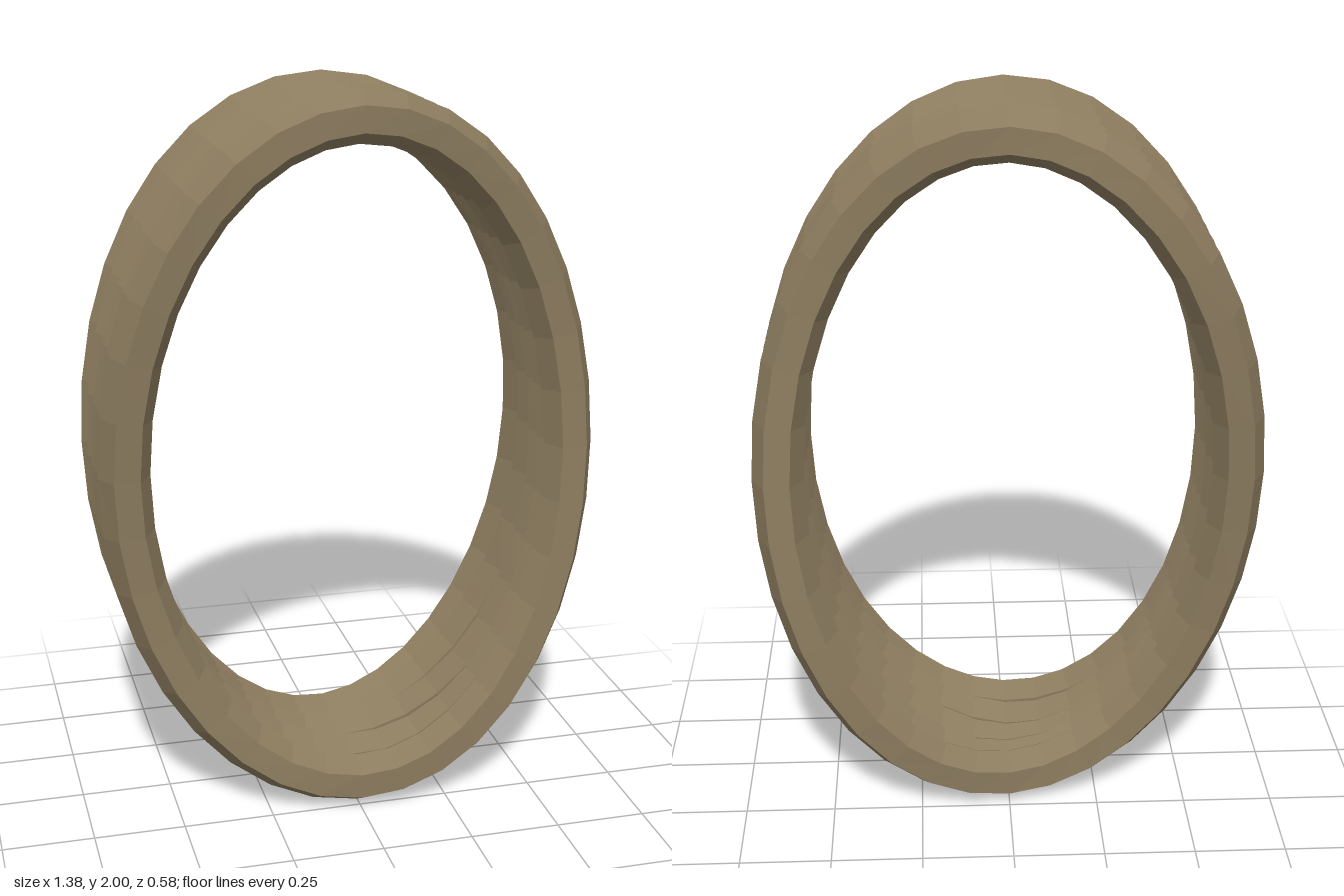
import * as THREE from 'three';

const RX = 0.62, RY = 0.93;   // centre line of each oval loop
const TUBE = 0.07;            // hexagonal strand radius
const LOOPS = 5, SPACING = 0.093, WAVE = 0.042;

// One oval strand: a six-sided torus stretched to an ellipse that weaves in z
function strandGeometry(index) {
  const geo = new THREE.TorusGeometry(1, TUBE, 6, 36);
  const pos = geo.attributes.position;
  const base = (index - (LOOPS - 1) / 2) * SPACING;
  for (let i = 0; i < pos.count; i++) {
    const x = pos.getX(i), y = pos.getY(i);
    const a = Math.atan2(y, x), off = Math.hypot(x, y) - 1;
    // outward normal of the ellipse keeps the strand evenly thick
    const n = new THREE.Vector2(Math.cos(a) / RX, Math.sin(a) / RY).normalize();
    pos.setXYZ(i,
      RX * Math.cos(a) + off * n.x,
      1 + RY * Math.sin(a) + off * n.y,
      pos.getZ(i) + base + WAVE * Math.sin(2 * a + index));
  }
  const flat = geo.toNonIndexed();
  flat.computeVertexNormals();
  return flat;
}

export function createModel() {
  const rope = new THREE.MeshStandardMaterial({ color: 0x8b7b5e, flatShading: true });
  rope.name = 'rope brown';

  const coil = new THREE.Group();
  coil.name = 'ropeCoil';
  // Loops from back to front, each weaving one radian further round
  for (let i = 0; i < LOOPS; i++) {
    const loop = new THREE.Mesh(strandGeometry(i), rope);
    loop.name = `ropeLoop${i + 1}`;
    coil.add(loop);
  }
  return coil;
}
